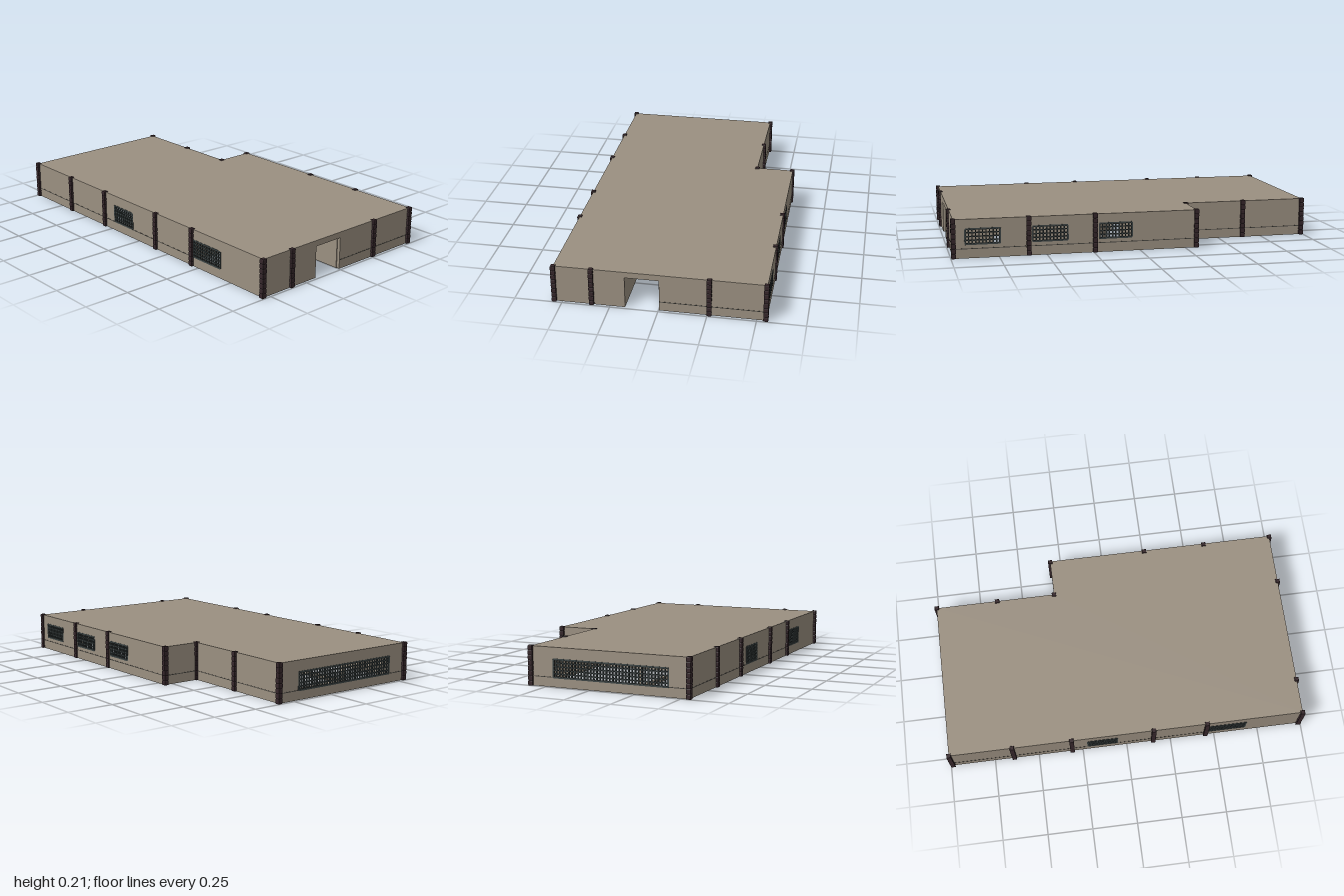
import * as THREE from 'three';
import { mergeGeometries } from 'three/addons/utils/BufferGeometryUtils.js';

const flat = (name, color) => {
  const m = new THREE.MeshStandardMaterial({ color, flatShading: true });
  m.name = name;
  return m;
};

const H = 0.205, T = 0.018;
const L = -0.988, R = 0.986, F = 0.541, B = -0.55, STEP_X = -0.31, STEP_Z = -0.34;

export function createModel() {
  const model = new THREE.Group();
  const plaster = flat('plaster', 0x9b9081);
  const wood = flat('darkWood', 0x35262a);
  const iron = flat('iron', 0x3c4444);
  const trimMat = flat('trim', 0x4c4a44);

  const add = (parent, name, geo, mat, x = 0, y = 0, z = 0) => {
    const mesh = new THREE.Mesh(geo, mat);
    mesh.name = name;
    mesh.position.set(x, y, z);
    parent.add(mesh);
    return mesh;
  };

  // A lattice of thin bars filling an opening, inside a slightly heavier frame
  const grateGeometry = (w, h) => {
    const parts = [], depth = 0.007;
    const nx = Math.round(w / 0.018), ny = Math.round(h / 0.018);
    const thick = (i, n) => (i === 0 || i === n ? 0.009 : 0.006);
    for (let i = 0; i <= nx; i++)
      parts.push(new THREE.BoxGeometry(thick(i, nx), h, depth).translate((i / nx) * w, h / 2, 0));
    for (let j = 0; j <= ny; j++)
      parts.push(new THREE.BoxGeometry(w, thick(j, ny), depth).translate(w / 2, (j / ny) * h, 0));
    return mergeGeometries(parts);
  };

  // Wall from one plan point to another, its body lying on the local -z side.
  // Openings are [start, end, bottom, top] along the wall; bottom 0 is a doorway.
  // The string course is [start, end] along the wall.
  const wall = (name, x1, z1, x2, z2, openings = [], course = null) => {
    const g = new THREE.Group();
    g.name = name;
    const len = Math.hypot(x2 - x1, z2 - z1);
    const s = new THREE.Shape();
    s.moveTo(0, 0);
    for (const [a, b, lo, hi] of openings) {
      if (lo > 0) continue;
      s.lineTo(a, 0); s.lineTo(a, hi); s.lineTo(b, hi); s.lineTo(b, 0);
    }
    s.lineTo(len, 0); s.lineTo(len, H - 0.005); s.lineTo(0, H - 0.005);
    s.closePath();
    for (const [a, b, lo, hi] of openings) {
      if (lo === 0) continue;
      const hole = new THREE.Path();
      hole.moveTo(a, lo); hole.lineTo(a, hi); hole.lineTo(b, hi); hole.lineTo(b, lo);
      hole.closePath();
      s.holes.push(hole);
      add(g, 'windowGrate', grateGeometry(b - a, hi - lo), iron, a, lo, -0.002);
    }
    const geo = new THREE.ExtrudeGeometry(s, { depth: T, bevelEnabled: false });
    add(g, 'wallPanel', geo.translate(0, 0, -T), plaster);
    if (course) {
      const [a, b] = course;
      add(g, 'stringCourse', new THREE.BoxGeometry(b - a, 0.004, 0.003), trimMat, (a + b) / 2, 0.05, -0.0005);
    }
    g.position.set(x1, 0, z1);
    g.rotation.y = Math.atan2(z1 - z2, x2 - x1);
    model.add(g);
  };

  // Flat roof following the stepped plan
  const plan = new THREE.Shape([[L, F], [R, F], [R, B], [STEP_X, B], [STEP_X, STEP_Z], [L, STEP_Z]]
    .map(([x, z]) => new THREE.Vector2(x, z)));
  const roof = new THREE.ExtrudeGeometry(plan, { depth: 0.006, bevelEnabled: false });
  add(model, 'roof', roof.rotateX(Math.PI / 2), plaster, 0, H, 0);

  // Outer walls, running counter-clockwise so that local +z faces outwards
  const frontAt = (a, b) => [a - L, b - L, 0.053, 0.145];
  const backAt = (a, b) => [R - a, R - b, 0.074, 0.153];
  wall('frontWall', L, F, R, F, [frontAt(-0.22, -0.055), frontAt(0.46, 0.672)], [0, 0.45 - L]);
  wall('leftWall', R, F, R, B, [[F - 0.172, F + 0.004, 0, 0.173]], [F + 0.004, F - B]);
  wall('backWall', R, B, STEP_X, B,
    [backAt(0.925, 0.745), backAt(0.575, 0.39), backAt(0.22, 0.045)], [0, R - STEP_X]);
  wall('stepSideWall', STEP_X, B, STEP_X, STEP_Z, [], [0, STEP_Z - B]);
  wall('stepBackWall', STEP_X, STEP_Z, L, STEP_Z, [], [0, STEP_X - L]);
  wall('rightWall', L, STEP_Z, L, F, [[0.13, 0.77, 0.05, 0.143]], [0, F - STEP_Z]);

  // Corridor and room partitions
  const door = (a) => [a, a + 0.1, 0, 0.15];
  wall('corridorFrontWall', -0.26, 0.19, R - T, 0.19, [door(0.3), door(0.86)]);
  wall('corridorBackWall', -0.26, 0, R - T, 0, [door(0.2), door(0.68)]);
  wall('backRoomWall', -0.26, -0.2, R - T, -0.2, [door(0.3), door(0.9)]);
  wall('hallWall', -0.28, 0.17, -0.28, B + T, [door(0.04)]);
  wall('frontPartition', 0.2, F - T, 0.2, 0.19);
  wall('frontPartition', 0.42, F - T, 0.42, 0.19);
  wall('middlePartition', 0.12, 0, 0.12, -0.2);
  wall('middlePartition', 0.54, 0, 0.54, -0.2);

  // Slim sill frame with corner uprights in the right wing
  const bar = 0.02, x0 = -0.86, x1 = -0.31, z0 = -0.3, z1 = 0.22;
  for (const z of [z0, z1]) {
    add(model, 'sill', new THREE.BoxGeometry(x1 - x0, bar, bar), plaster, (x0 + x1) / 2, bar / 2, z);
    for (const x of [x0, x1])
      add(model, 'upright', new THREE.BoxGeometry(bar, H - 0.006, bar), plaster, x, (H - 0.006) / 2, z);
  }
  for (const x of [x0, x1])
    add(model, 'sill', new THREE.BoxGeometry(bar, bar, z1 - z0), plaster, x, bar / 2, (z0 + z1) / 2);

  // Posts of stacked, chamfered blocks
  const blocks = 8, bh = 0.209 / blocks, r = 0.0175, profile = [new THREE.Vector2(0, 0)];
  for (let i = 0; i < blocks; i++)
    for (const [k, t] of [[0.86, 0], [1, 0.15], [1, 0.85], [0.86, 1]])
      profile.push(new THREE.Vector2(r * k, (i + t) * bh));
  profile.push(new THREE.Vector2(0, 0.209));
  const post = new THREE.LatheGeometry(profile, 4, Math.PI / 4);
  const spots = [
    ...[L, -0.64, STEP_X, 0.15, 0.45, R].map((x) => [x, 0.541]),
    ...[STEP_X, 0.243, 0.595, R].map((x) => [x, -0.546]),
    ...[L, -0.64, STEP_X].map((x) => [x, STEP_Z]),
    [R, 0.345], [R, -0.26],
  ];
  for (const [x, z] of spots) add(model, 'post', post, wood, x, 0, z);

  return model;
}
